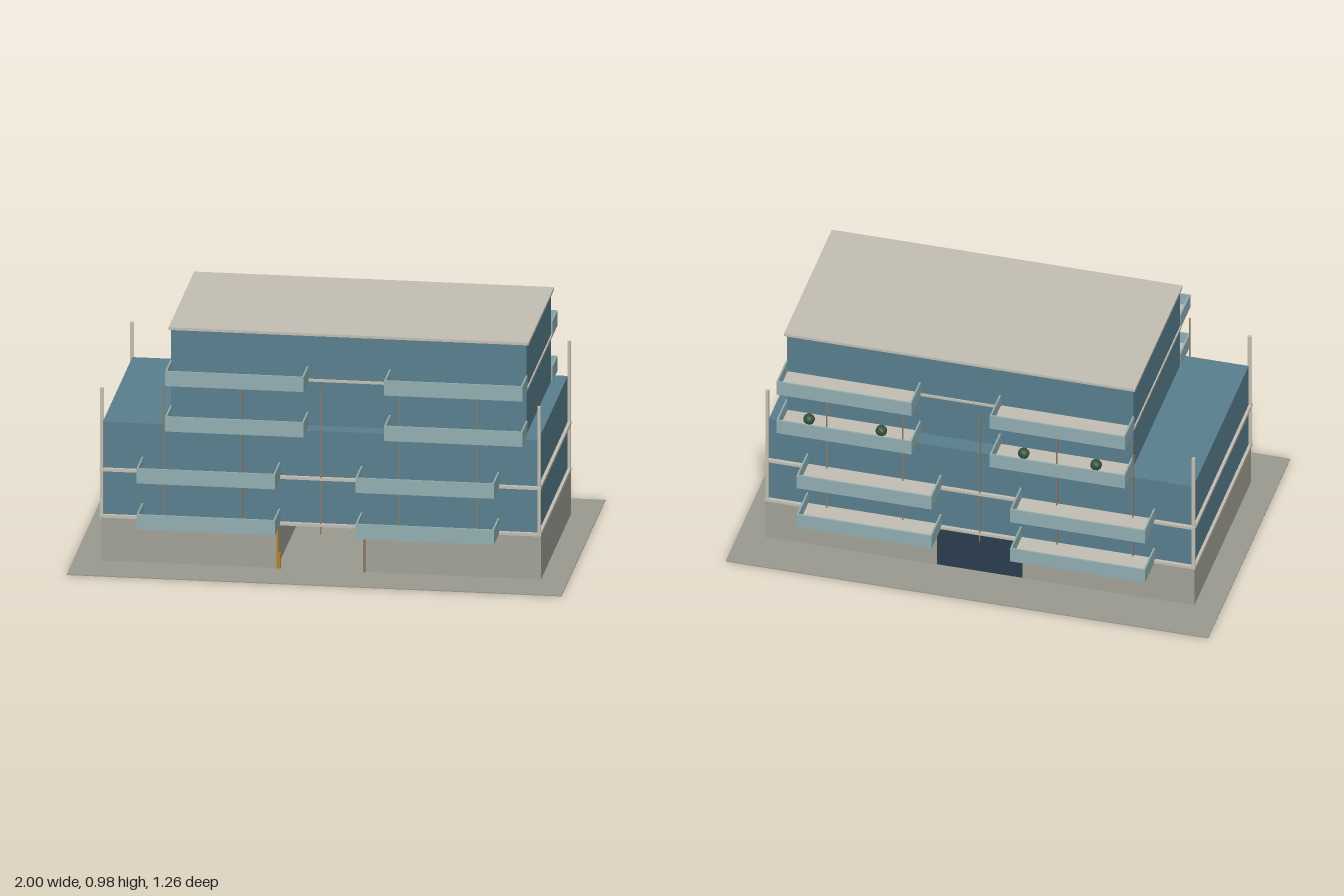
import * as THREE from 'three';

const mat = (color, extra = {}) => new THREE.MeshStandardMaterial({ color, ...extra });
const M = {
  paving: mat(0x9c9b91), wall: mat(0xa3a399), slab: mat(0xc4c0b4), glass: mat(0x5a8090),
  rail: mat(0x93b0b3), dark: mat(0x2b3e4e), door: mat(0x9fadb8), bronze: mat(0x8d7a62),
  gold: mat(0xb5822c), leaf: mat(0x35503c, { flatShading: true }),
};

// Box given by its min and max on each axis
function box(parent, name, material, [x0, x1], [y0, y1], [z0, z1]) {
  const mesh = new THREE.Mesh(new THREE.BoxGeometry(x1 - x0, y1 - y0, z1 - z0), material);
  mesh.position.set((x0 + x1) / 2, (y0 + y1) / 2, (z0 + z1) / 2);
  mesh.name = name;
  parent.add(mesh);
  return mesh;
}

// Box centred on x and z, standing between two heights
const post = (parent, name, material, x, z, w, y0, y1) =>
  box(parent, name, material, [x - w / 2, x + w / 2], [y0, y1], [z - w / 2, z + w / 2]);

// Tray balcony: floor plus three parapet panels; side is 1 for front, -1 for back
function balcony(parent, x0, x1, y, zWall, zOuter, side) {
  const g = new THREE.Group();
  g.name = 'balcony';
  const t = 0.007, top = y + 0.063;
  const zr = (a, b) => (side > 0 ? [a, b] : [-b, -a]);
  box(g, 'balconyFloor', M.slab, [x0 + t, x1 - t], [y, y + 0.013], zr(zWall, zOuter - t));
  box(g, 'frontParapet', M.rail, [x0, x1], [y, top], zr(zOuter - t, zOuter));
  box(g, 'sideParapet', M.rail, [x0, x0 + t], [y, top], zr(zWall, zOuter - t));
  box(g, 'sideParapet', M.rail, [x1 - t, x1], [y, top], zr(zWall, zOuter - t));
  parent.add(g);
}

export function createModel() {
  const model = new THREE.Group();
  model.name = 'officeBuilding';

  box(model, 'paving', M.paving, [-1, 1], [0, 0.004], [-0.63, 0.63]);

  // Ground floor: two wings either side of a deep entrance passage
  for (const s of [-1, 1]) {
    const xr = s > 0 ? [0.178, 0.89] : [-0.89, -0.178];
    box(model, 'groundFloorWing', M.wall, xr, [0.004, 0.186], [-0.433, 0.433]);
    post(model, 'entrancePost', s < 0 ? M.gold : M.bronze, s * 0.175, 0.436, 0.009, 0.004, 0.186);
    box(model, 'entranceDoor', M.door, s > 0 ? [0.027, 0.09] : [-0.095, -0.032], [0.004, 0.118], [-0.42, -0.412]);
  }
  box(model, 'entranceWall', M.dark, [-0.178, 0.178], [0.004, 0.186], [-0.432, -0.42]);
  box(model, 'entranceSign', M.gold, [-0.178, -0.162], [0.004, 0.07], [0.425, 0.436]);

  // Glazed storeys and floor slabs
  box(model, 'lowerStoreys', M.glass, [-0.883, 0.877], [0.19, 0.585], [-0.425, 0.425]);
  box(model, 'upperStoreys', M.glass, [-0.617, 0.82], [0.585, 0.966], [-0.355, 0.355]);
  for (const y of [0.186, 0.381])
    box(model, 'floorSlab', M.slab, [-0.895, 0.89], [y, y + 0.012], [-0.44, 0.44]);
  box(model, 'upperFloorSlab', M.slab, [-0.622, 0.825], [0.77, 0.781], [-0.36, 0.36]);
  box(model, 'roof', M.slab, [-0.625, 0.83], [0.964, 0.975], [-0.367, 0.367]);

  for (const side of [-1, 1]) {
    // Corner posts and slim facade mullions
    for (const x of [-0.886, 0.882]) post(model, 'cornerPost', M.slab, x, side * 0.43, 0.013, 0.186, 0.73);
    for (const x of [-0.635, -0.32, 0, 0.318, 0.633])
      post(model, 'mullion', M.bronze, x, side * 0.436, 0.005, 0.155, 0.766);

    // Balconies, shifted sideways on the upper storeys
    for (const y of [0.188, 0.382]) {
      balcony(model, -0.725, -0.165, y, 0.425, 0.58, side);
      balcony(model, 0.16, 0.72, y, 0.425, 0.58, side);
    }
    for (const y of [0.58, 0.771]) {
      balcony(model, -0.62, -0.06, y, 0.355, 0.502, side);
      balcony(model, 0.265, 0.825, y, 0.355, 0.502, side);
    }
  }

  // Small shrubs on the rear balconies
  for (const x of [-0.48, -0.18, 0.41, 0.71]) {
    const shrub = new THREE.Mesh(new THREE.IcosahedronGeometry(0.024, 1), M.leaf);
    shrub.position.set(x, 0.617, -0.425);
    shrub.name = 'shrub';
    model.add(shrub);
  }
  return model;
}
